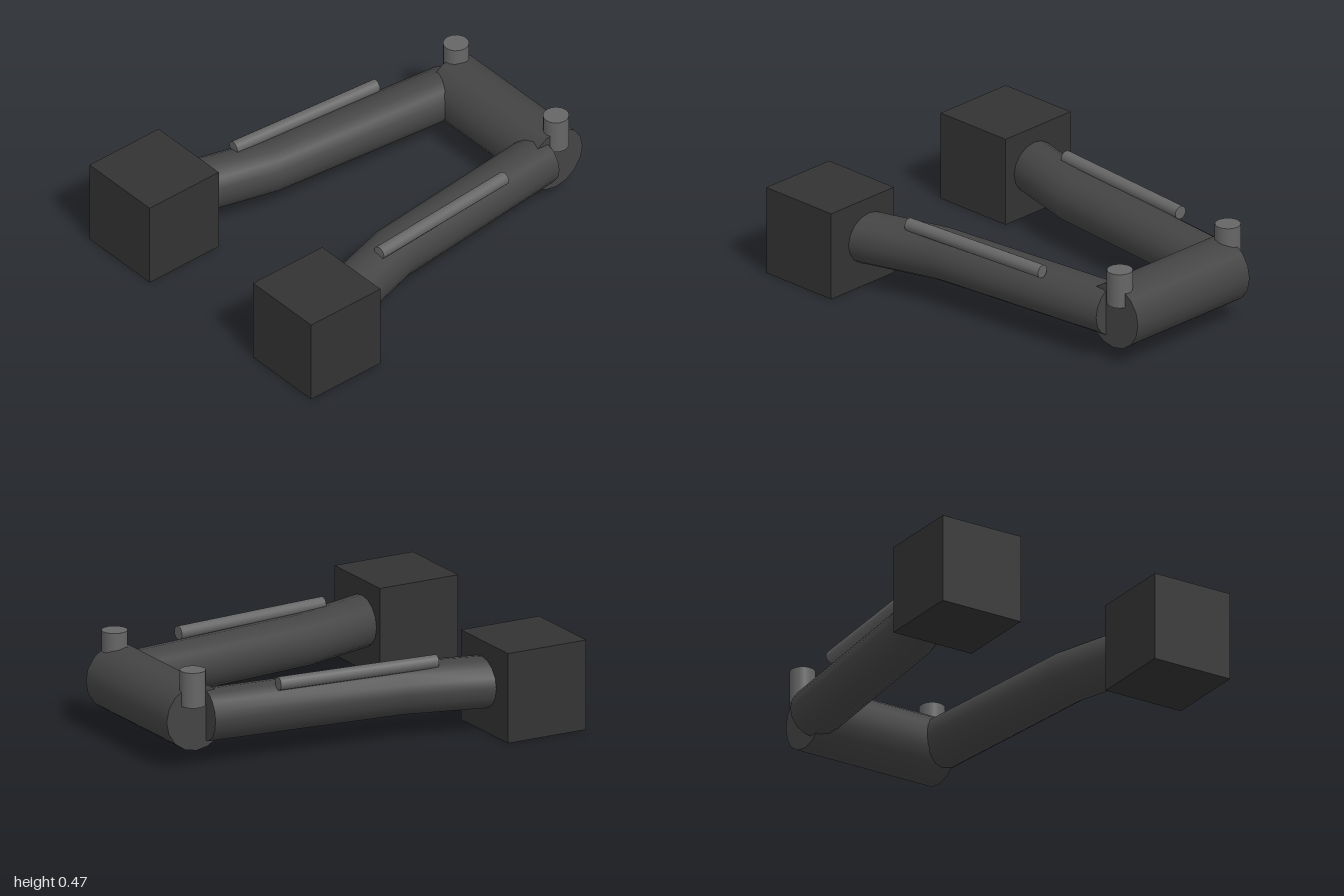
import * as THREE from 'three';
import { toCreasedNormals } from 'three/addons/utils/BufferGeometryUtils.js';

const material = (color) => new THREE.MeshStandardMaterial({ color });
const SIDES = 16;
const ARM_RADIUS = 0.124;
const AXIS_Y = 0.235;

// Round bar between two points
function rod(a, b, radius) {
  const dir = b.clone().sub(a);
  const g = new THREE.CylinderGeometry(radius, radius, dir.length(), SIDES);
  g.applyQuaternion(new THREE.Quaternion().setFromUnitVectors(
    new THREE.Vector3(0, 1, 0), dir.normalize()));
  const mid = a.clone().add(b).multiplyScalar(0.5);
  return g.translate(mid.x, mid.y, mid.z);
}

// Bent arm: a cylinder along z whose three rings are moved to path stations.
// Each station is [x, z, slope dx/dz that the ring is square to].
function bentArm(stations) {
  const g = new THREE.CylinderGeometry(ARM_RADIUS, ARM_RADIUS, 2, SIDES, 2);
  g.rotateX(Math.PI / 2);
  const p = g.attributes.position;
  for (let i = 0; i < p.count; i++) {
    const [x, z, slope] = stations[Math.round(p.getZ(i)) + 1];
    const across = p.getX(i);
    p.setXYZ(i, x + across, AXIS_Y + p.getY(i), z - across * slope);
  }
  return toCreasedNormals(g, 0.6);
}

export function createModel() {
  const model = new THREE.Group();
  const dark = material(0x333333);
  const tube = material(0x444444);
  const light = material(0x666666);
  const add = (name, geometry, mat) => {
    const mesh = new THREE.Mesh(geometry, mat);
    mesh.name = name;
    model.add(mesh);
  };
  const v = (x, y, z) => new THREE.Vector3(x, y, z);

  // Cross bar joining both arms at the back
  add('crossBar', rod(v(-0.365, AXIS_Y, -0.84), v(0.375, AXIS_Y, -0.84), 0.16), tube);

  // The two sides differ slightly in x
  const sides = [
    { name: 'left', s: 1, arm: [0.323, 0.427, 0.562], rod: [0.453, 0.51], knob: 0.351, box: [0.375, 0.79] },
    { name: 'right', s: -1, arm: [-0.347, -0.449, -0.574], rod: [-0.462, -0.531], knob: -0.364, box: [-0.795, -0.365] },
  ];
  for (const { name, s, arm, rod: rail, knob, box } of sides) {
    // Arm, bent outwards near the front
    add(name + 'Arm', bentArm([
      [arm[0], -0.787, s * 0.103],
      [arm[1], 0.2, s * 0.2],
      [arm[2], 0.65, s * 0.29],
    ]), tube);

    // Thin rail lying on the arm
    add(name + 'Rail', rod(v(rail[0], 0.364, -0.458), v(rail[1], 0.364, 0.35), 0.032), light);

    // Upright knob on the end of the cross bar
    add(name + 'Knob', rod(v(knob, 0.3, -0.86), v(knob, 0.47, -0.86), 0.061), light);

    // Block at the front end
    const block = new THREE.BoxGeometry(box[1] - box[0], 0.435, 0.42);
    block.translate((box[0] + box[1]) / 2, 0.2175, 0.79);
    add(name + 'Block', block, dark);
  }
  return model;
}
